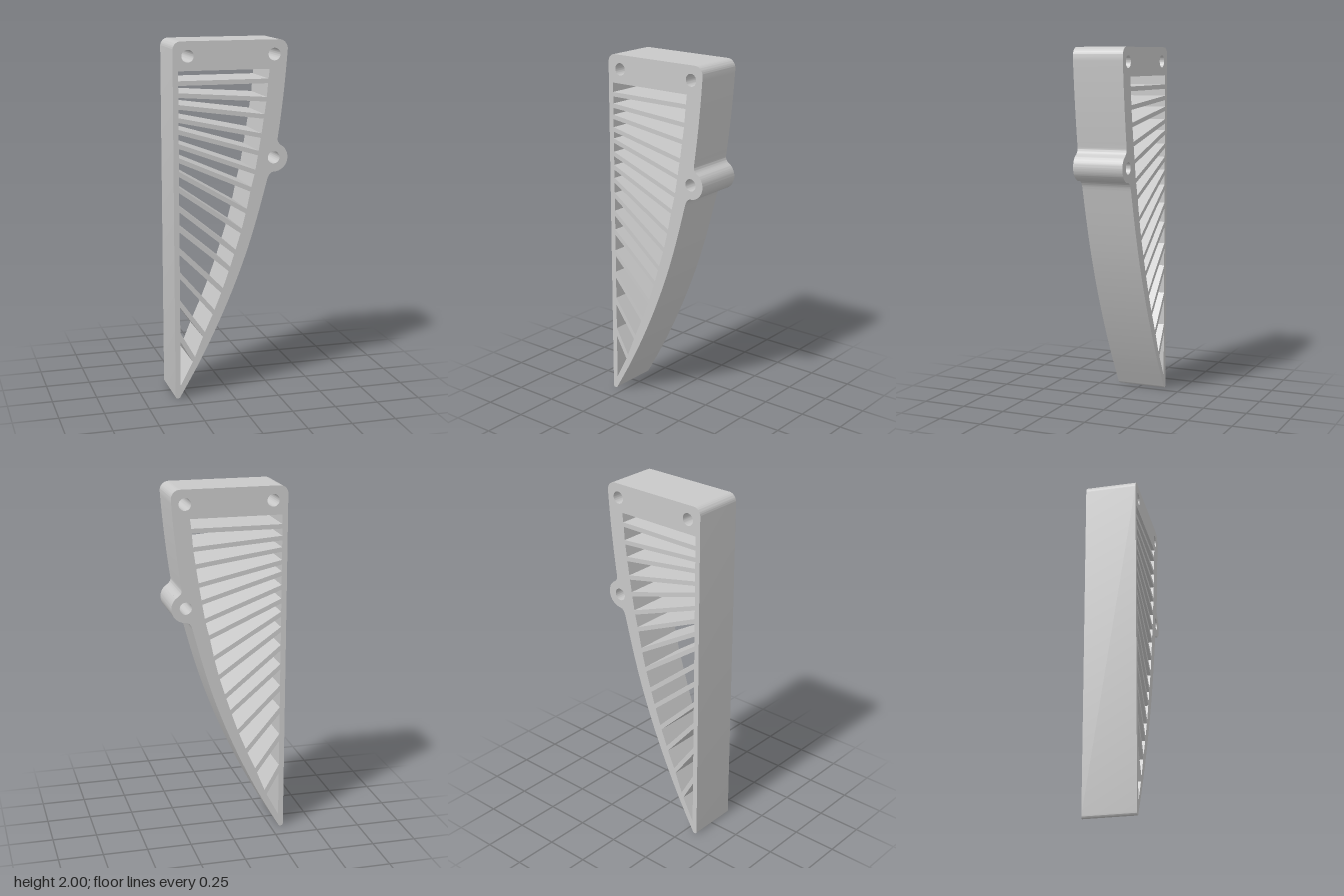
import * as THREE from 'three';
import { toCreasedNormals } from 'three/addons/utils/BufferGeometryUtils.js';

const DEPTH = 0.29;
const LEFT = -0.295; // inner face of the straight spine
const SLAT = 0.025; // slat thickness
const v = (x, y) => new THREE.Vector2(x, y);

// Each slat: height at the spine, then x and y where it meets the curved rail
const slats = [
  [1.777, 0.208, 1.777], [1.713, 0.200, 1.677], [1.650, 0.186, 1.583],
  [1.579, 0.170, 1.478], [1.515, 0.154, 1.382], [1.438, 0.136, 1.277],
  [1.361, 0.112, 1.181], [1.285, 0.086, 1.059], [1.197, 0.058, 0.948],
  [1.091, 0.021, 0.831], [0.979, -0.010, 0.735], [0.852, -0.053, 0.613],
  [0.719, -0.102, 0.492], [0.555, -0.159, 0.366], [0.361, -0.217, 0.223],
];

// Spine and rail corners of one slat face (side +1 upper, -1 lower);
// the rail corner lies on the line from the slat's rail point to q
function slatEdge([yl, xr, yr], side, q) {
  const slope = (yr - yl) / (xr - LEFT);
  const y0 = yl + side * SLAT / 2 * Math.hypot(1, slope);
  const dx = q.x - xr, dy = q.y - yr;
  const t = (y0 + slope * (xr - LEFT) - yr) / (dy - slope * dx);
  return [v(LEFT, y0), v(xr + t * dx, yr + t * dy)];
}

// Openings left between the slats, wound counter-clockwise so their walls face inward
function slots() {
  const topRail = v(0.216, 1.842), tip = v(LEFT, 0.075);
  const rail = slats.map(s => v(s[1], s[2]));
  const list = [];
  for (let i = 0; i <= slats.length; i++) {
    const upper = i === 0 ? [v(LEFT, 1.842), topRail]
      : slatEdge(slats[i - 1], -1, rail[i] ?? tip);
    const lower = i === slats.length ? [tip]
      : slatEdge(slats[i], 1, rail[i - 1] ?? topRail);
    list.push(new THREE.Path([upper[0], ...lower, upper[1]]));
  }
  return list;
}

function outline() {
  const s = new THREE.Shape();
  s.moveTo(-0.325, 0.016);
  // Straight spine and rounded top corners
  s.lineTo(-0.325, 1.955);
  s.absarc(-0.28, 1.955, 0.045, Math.PI, Math.PI / 2, true);
  s.lineTo(0.268, 2);
  s.absarc(0.268, 1.95, 0.05, Math.PI / 2, 0, true);
  s.quadraticCurveTo(0.301, 1.70, 0.265, 1.46);
  // Filleted mounting lug
  s.quadraticCurveTo(0.262, 1.434, 0.294, 1.415);
  s.absarc(0.243, 1.354, 0.08, THREE.MathUtils.degToRad(50), -Math.PI / 2, true);
  s.quadraticCurveTo(0.218, 1.272, 0.206, 1.23);
  // Curved rail down to the tip
  s.splineThru([v(0.143, 1.0), v(0.079, 0.8), v(0.002, 0.6), v(-0.087, 0.4),
    v(-0.188, 0.2), v(-0.297, 0.008)]);
  s.quadraticCurveTo(-0.303, 0, -0.311, 0);
  s.quadraticCurveTo(-0.325, 0, -0.325, 0.016);
  return s;
}

export function createModel() {
  const grey = new THREE.MeshStandardMaterial({ color: 0xc8c8c8 });
  grey.name = 'light grey';

  const shape = outline();
  shape.holes.push(...slots());
  // Bolt holes
  for (const [x, y] of [[-0.243, 1.921], [0.243, 1.921], [0.243, 1.354]]) {
    shape.holes.push(new THREE.Path().absarc(x, y, 0.034, 0, Math.PI * 2));
  }

  const geometry = new THREE.ExtrudeGeometry(shape, {
    depth: DEPTH, bevelEnabled: false, curveSegments: 20,
  });
  geometry.translate(0, 0, -DEPTH / 2);

  const bracket = new THREE.Mesh(toCreasedNormals(geometry, 0.5), grey);
  bracket.name = 'slattedBracket';

  const group = new THREE.Group();
  group.name = 'slattedFinBracket';
  group.add(bracket);
  return group;
}
